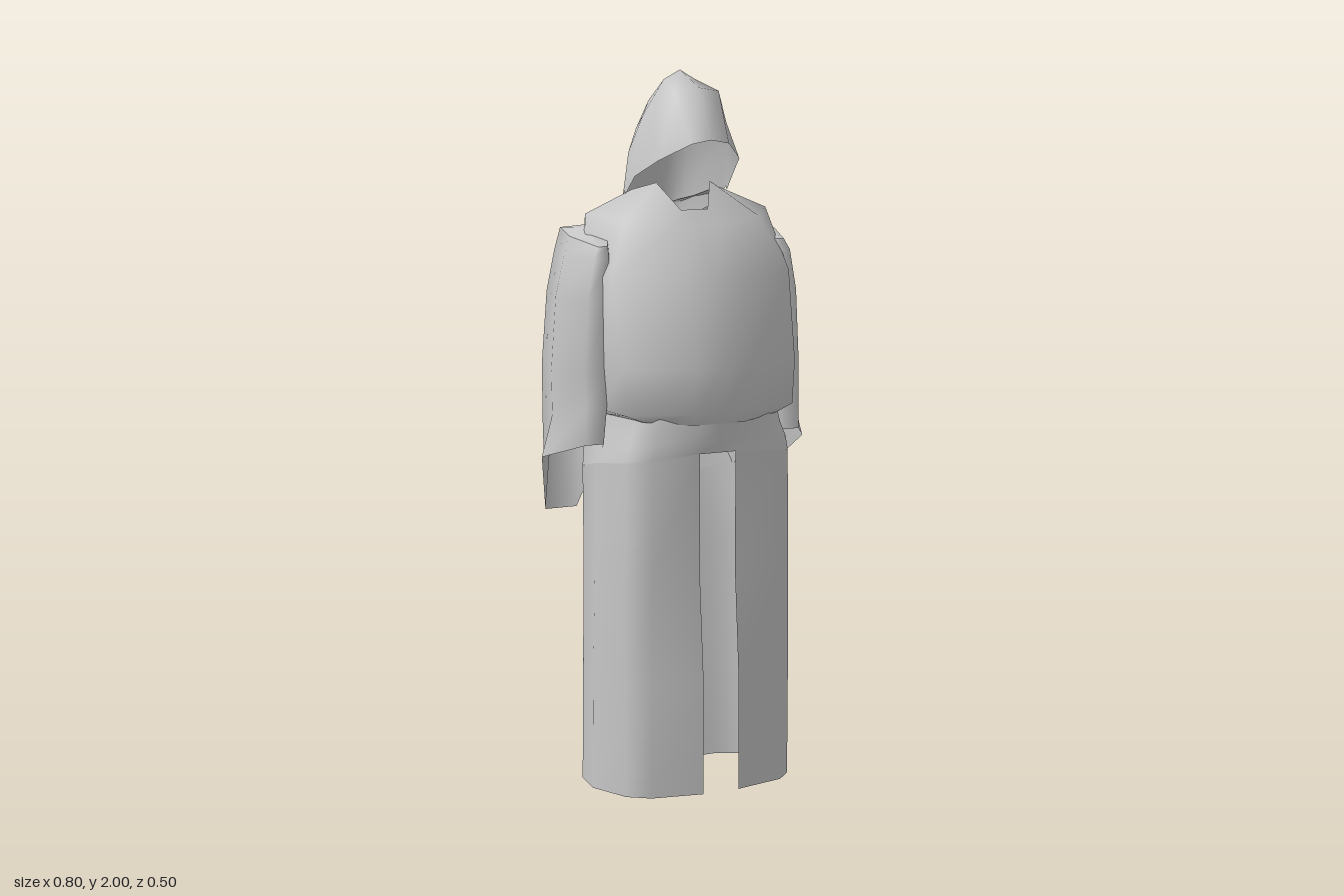
import * as THREE from 'three';

const cloth = new THREE.MeshStandardMaterial({ color: 0xc6c6c6, side: THREE.DoubleSide });
cloth.name = 'grey cloth';

// Skin between cross-sections listed from top to bottom
function loft(name, rings, closed) {
  const n = rings[0].length, index = [];
  for (let i = 0; i < rings.length - 1; i++) {
    for (let j = 0; j < (closed ? n : n - 1); j++) {
      const k = (j + 1) % n;
      const a = i * n + j, b = i * n + k, c = a + n, d = b + n;
      index.push(a, c, b, b, c, d);
    }
  }
  const g = new THREE.BufferGeometry();
  g.setAttribute('position', new THREE.Float32BufferAttribute(rings.flat(2), 3));
  g.setIndex(index);
  g.computeVertexNormals();
  const mesh = new THREE.Mesh(g, cloth);
  mesh.name = name;
  return mesh;
}

const flip = ([x, y, z]) => [-x, y, z];
const mirrorRing = (r) => r.map(flip).reverse();
// Half ring, front centre to back centre, completed across x = 0
const fullRing = (h) => [...h, ...h.slice(1, -1).map(flip).reverse()];
// Half arc, crown to base, completed across x = 0
const fullArc = (h) => [...h.slice(1).map(flip).reverse(), ...h];
// Give a flat outline of [x, z] one height
const level = (y, pts) => pts.map(([x, z]) => [x, y, z]);

export function createModel() {
  const model = new THREE.Group();
  model.name = 'hoodedRobe';

  // Hood, arcs from the nape forward to the brow
  const hood = [
    [[0, 1.6, -0.21], [0.025, 1.6, -0.21], [0.045, 1.6, -0.207], [0.06, 1.6, -0.203], [0.07, 1.59, -0.195]],
    [[0, 1.73, -0.192], [0.04, 1.725, -0.187], [0.068, 1.69, -0.18], [0.085, 1.65, -0.17], [0.092, 1.6, -0.16]],
    [[0, 1.85, -0.155], [0.045, 1.835, -0.15], [0.08, 1.77, -0.145], [0.105, 1.7, -0.135], [0.115, 1.61, -0.125]],
    [[0, 1.935, -0.12], [0.05, 1.915, -0.115], [0.09, 1.84, -0.11], [0.12, 1.75, -0.1], [0.135, 1.63, -0.09]],
    [[0, 2, -0.02], [0.045, 1.975, -0.025], [0.1, 1.88, -0.04], [0.135, 1.78, -0.06], [0.15, 1.66, -0.065]],
    [[0, 1.955, 0.1], [0.065, 1.945, 0.085], [0.11, 1.86, 0.04], [0.143, 1.75, -0.02], [0.154, 1.68, -0.05]],
    [[0, 1.82, 0.172], [0.055, 1.81, 0.168], [0.12, 1.765, 0.1], [0.147, 1.72, 0.01], [0.152, 1.67, -0.04]],
  ];
  model.add(loft('hood', hood.map(fullArc), false));

  // Bloused torso with notched collar, meeting the hip band at its hem
  const torso = [
    [[0, 1.63, 0.07], [0.04, 1.63, 0.07], [0.08, 1.7, 0], [0.13, 1.68, -0.05], [0.1, 1.65, -0.14], [0.05, 1.63, -0.2], [0, 1.63, -0.207]],
    [[0, 1.59, 0.1], [0.07, 1.59, 0.1], [0.2, 1.605, 0.06], [0.272, 1.62, -0.04], [0.235, 1.61, -0.12], [0.08, 1.57, -0.212], [0, 1.57, -0.214]],
    level(1.46, [[0, 0.205], [0.09, 0.2], [0.265, 0.115], [0.278, -0.02], [0.25, -0.12], [0.16, -0.195], [0, -0.215]]),
    level(1.22, [[0, 0.25], [0.08, 0.25], [0.254, 0.175], [0.268, 0.06], [0.25, -0.13], [0.19, -0.218], [0, -0.248]]),
    [[0, 1.1, 0.236], [0.08, 1.1, 0.236], [0.25, 1.1, 0.17], [0.262, 1.1, 0.03], [0.24, 1.12, -0.13], [0.187, 1.15, -0.215], [0, 1.17, -0.24]],
    [[0, 1.07, 0.226], [0.075, 1.07, 0.226], [0.2, 1.08, 0.175], [0.235, 1.08, 0], [0.215, 1.11, -0.125], [0.17, 1.14, -0.2], [0, 1.16, -0.23]],
  ];
  model.add(loft('torso', torso.map(fullRing), true));

  // Hip band, deeper and fuller at the back
  const hem = [[0, 0.99, 0.217], [0.053, 0.99, 0.217], [0.19, 0.98, 0.21], [0.242, 0.97, 0.16], [0.27, 0.95, 0.02], [0.255, 0.92, -0.11], [0.18, 0.87, -0.182], [0.053, 0.85, -0.202], [0, 0.85, -0.202]];
  const band = [
    [[0, 1.1, 0.225], [0.05, 1.1, 0.225], [0.16, 1.1, 0.195], [0.21, 1.1, 0.15], [0.235, 1.11, 0], [0.215, 1.14, -0.125], [0.165, 1.16, -0.2], [0.05, 1.17, -0.228], [0, 1.17, -0.23]],
    [[0, 1.05, 0.223], [0.05, 1.05, 0.223], [0.17, 1.05, 0.198], [0.22, 1.05, 0.155], [0.242, 1.06, 0], [0.228, 1.09, -0.13], [0.185, 1.1, -0.212], [0.05, 1.11, -0.244], [0, 1.11, -0.246]],
    [[0, 1.02, 0.22], [0.05, 1.02, 0.22], [0.18, 1.02, 0.205], [0.235, 1.01, 0.16], [0.255, 1.01, 0], [0.242, 1, -0.125], [0.185, 0.99, -0.202], [0.05, 0.99, -0.235], [0, 0.99, -0.236]],
    hem,
  ];
  model.add(loft('hipBand', band.map(fullRing), true));

  // Skirt panels, open at front and back
  const skirt = [
    hem.slice(1, -1),
    level(0.66, [[0.053, 0.217], [0.19, 0.212], [0.246, 0.16], [0.28, 0.03], [0.258, -0.1], [0.18, -0.172], [0.05, -0.19]]),
    level(0.36, [[0.053, 0.242], [0.195, 0.216], [0.248, 0.16], [0.287, 0.03], [0.262, -0.1], [0.185, -0.178], [0.05, -0.2]]),
    [[0.053, 0.05, 0.243], [0.197, 0.05, 0.215], [0.248, 0.045, 0.16], [0.29, 0.038, 0.03], [0.266, 0.025, -0.1], [0.19, 0.01, -0.185], [0.047, 0, -0.213]],
  ];

  // Wide sleeves with slanted open cuffs
  const sleeve = [
    [[0.25, 1.54, 0.06], [0.278, 1.54, 0.06], [0.31, 1.56, -0.06], [0.293, 1.575, -0.165], [0.22, 1.58, -0.16], [0.2, 1.575, -0.06]],
    [[0.25, 1.51, 0.07], [0.292, 1.51, 0.07], [0.328, 1.51, -0.055], [0.303, 1.51, -0.185], [0.205, 1.51, -0.185], [0.2, 1.51, -0.06]],
    level(1.4, [[0.25, 0.07], [0.312, 0.07], [0.355, -0.05], [0.32, -0.2], [0.2, -0.2], [0.2, -0.06]]),
    level(1.2, [[0.255, 0.07], [0.322, 0.07], [0.37, -0.05], [0.33, -0.215], [0.205, -0.225], [0.21, -0.06]]),
    [[0.26, 1.1, 0.07], [0.322, 1.1, 0.07], [0.368, 1.08, -0.05], [0.328, 1.05, -0.22], [0.21, 1.05, -0.235], [0.21, 1.07, -0.06]],
    [[0.27, 1.01, 0.072], [0.322, 1.01, 0.072], [0.4, 0.965, -0.05], [0.31, 0.775, -0.25], [0.215, 0.775, -0.25], [0.23, 0.95, -0.06]],
  ];
  // Shoulder end that closes each sleeve
  const top = sleeve[0];
  const shoulder = [top.map(() => [0.255, 1.58, -0.07]), top];

  for (const [name, rings, closed] of [['Skirt', skirt, false], ['Sleeve', sleeve, true], ['Shoulder', shoulder, true]]) {
    model.add(loft('left' + name, rings, closed));
    model.add(loft('right' + name, rings.map(mirrorRing), closed));
  }
  return model;
}
